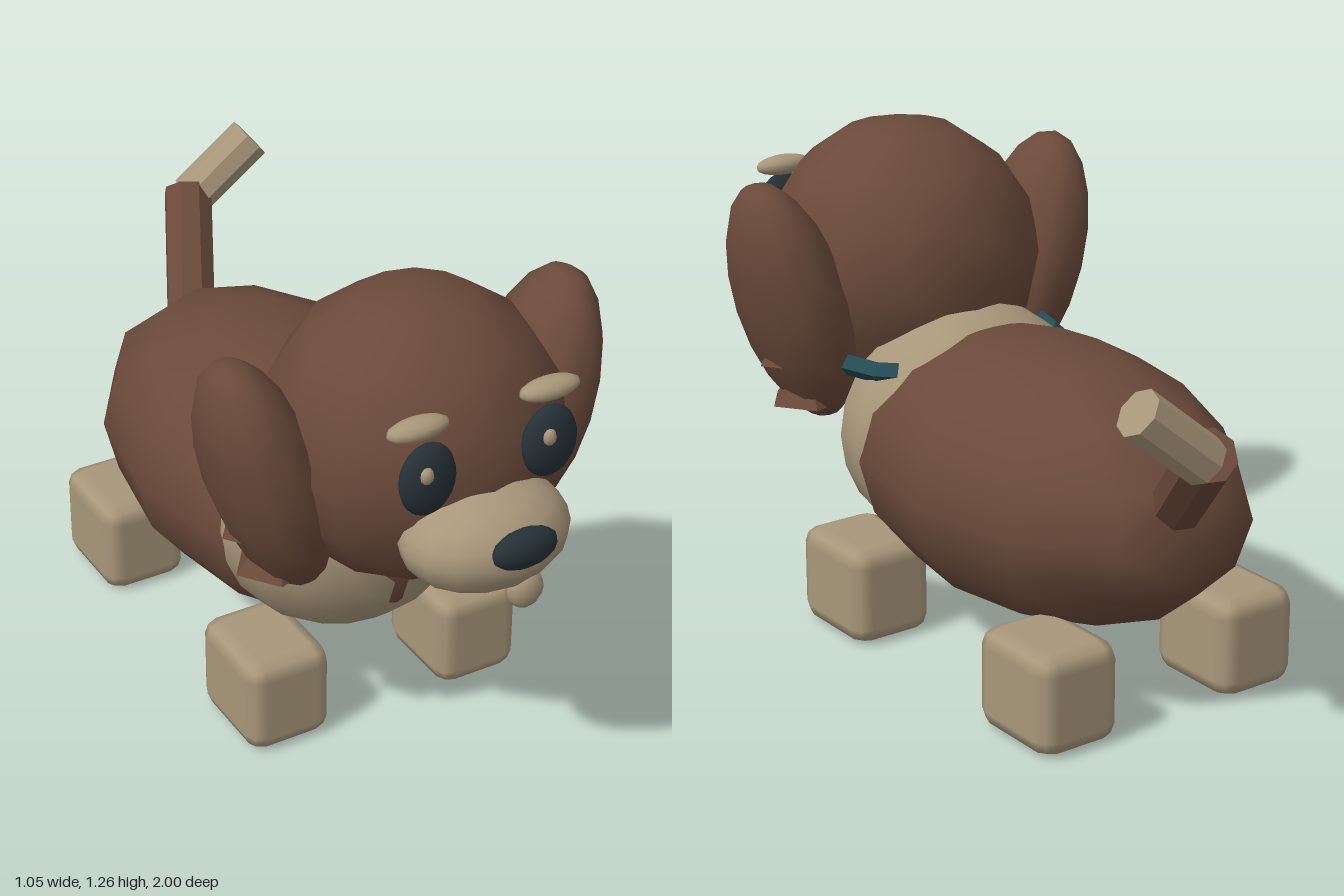
import * as THREE from 'three';
import { RoundedBoxGeometry } from 'three/addons/geometries/RoundedBoxGeometry.js';

const mat = (name, color) => {
  const m = new THREE.MeshStandardMaterial({ color });
  m.name = name;
  return m;
};

export function createModel() {
  const dog = new THREE.Group();
  dog.name = 'puppy';
  const brown = mat('brown fur', 0x6a4a3a);
  const cream = mat('cream fur', 0xa8977a);
  const dark = mat('dark blue grey', 0x263238);
  const teal = mat('teal collar', 0x234a52);

  const add = (name, geometry, material, position = [0, 0, 0]) => {
    const mesh = new THREE.Mesh(geometry, material);
    mesh.name = name;
    mesh.position.set(...position);
    dog.add(mesh);
    return mesh;
  };
  // Ellipsoid given by centre and radii
  const ball = (name, material, centre, radii, w = 12, h = 8) =>
    add(name, new THREE.SphereGeometry(1, w, h).scale(...radii), material, centre);
  // Hard-edged facets
  const faceted = (geometry) => {
    const g = geometry.toNonIndexed();
    g.computeVertexNormals();
    return g;
  };
  // Faceted cylinder between two points
  const rod = (name, material, from, to, radius) => {
    const a = new THREE.Vector3(...from), b = new THREE.Vector3(...to);
    const dir = b.clone().sub(a);
    const g = faceted(new THREE.CylinderGeometry(radius, radius, dir.length(), 8));
    const mesh = add(name, g, material, a.add(b).multiplyScalar(0.5).toArray());
    mesh.quaternion.setFromUnitVectors(new THREE.Vector3(0, 1, 0), dir.normalize());
  };

  // Torso, chest and head
  ball('body', brown, [0, 0.49, -0.14], [0.4, 0.34, 0.63]);
  ball('chest', cream, [0, 0.52, 0.195], [0.345, 0.318, 0.28], 16, 12);
  ball('head', brown, [0, 0.895, 0.49], [0.365, 0.368, 0.352]);

  // Face
  ball('muzzle', cream, [0, 0.787, 0.8], [0.21, 0.128, 0.165], 16, 10);
  ball('nose', dark, [0, 0.835, 0.965], [0.085, 0.05, 0.035], 12, 8);
  ball('tongue', cream, [0.04, 0.683, 0.915], [0.047, 0.05, 0.032], 12, 8);

  for (const s of [-1, 1]) {
    ball('eye', dark, [s * 0.16, 0.98, 0.81], [0.072, 0.092, 0.035], 16, 12);
    ball('eyeGlint', cream, [s * 0.16 - 0.02, 1.01, 0.84], [0.017, 0.021, 0.014], 8, 6);
    ball('eyebrow', cream, [s * 0.172, 1.1, 0.785], [0.08, 0.026, 0.035], 12, 8);

    // Drooping ears with tufts at the lower edge
    const ear = ball('ear', brown, [s * 0.367, 0.85, 0.44], [0.13, 0.33, 0.182], 12, 10);
    ear.rotation.z = -s * 0.29;
    const tuft = faceted(new THREE.ConeGeometry(0.1, 0.13, 5));
    const lower = add('earTuft', tuft, brown, [s * 0.335, 0.65, 0.43]);
    const upper = add('earTuft', tuft, brown, [s * 0.37, 0.765, 0.43]);
    lower.rotation.y = upper.rotation.y = s > 0 ? Math.PI / 2 : -Math.PI / 2;

    // Block paws
    for (const z of [0.27, -0.51]) {
      add('paw', new RoundedBoxGeometry(0.228, 0.256, 0.28, 1, 0.045), cream, [s * 0.272, 0.132, z]);
    }
  }

  // Collar and its small tag
  const band = faceted(new THREE.TorusGeometry(0.32, 0.028, 4, 12).rotateX(Math.PI / 2));
  add('collar', band, teal, [0, 0.71, 0.35]);
  ball('collarTag', cream, [0, 0.56, 0.58], [0.035, 0.03, 0.025], 8, 6);

  // Bent tail
  rod('tail', brown, [0.02, 0.56, -0.66], [0.165, 0.815, -0.945], 0.067);
  rod('tailTip', cream, [0.17, 0.8, -0.94], [0.345, 0.945, -0.92], 0.06);

  return dog;
}
